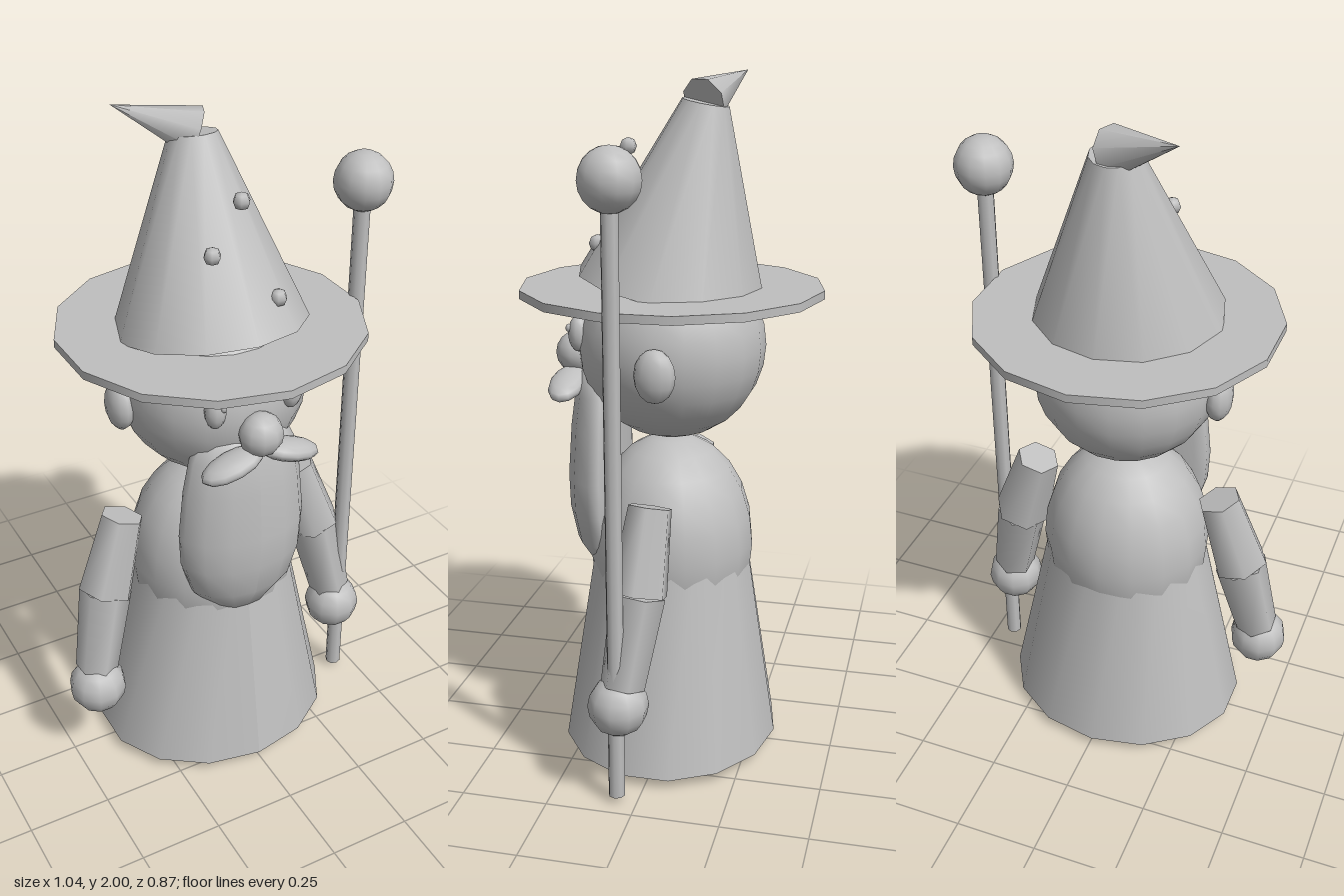
import * as THREE from 'three';

const CX = -0.008; // body axis

export function createModel() {
  const model = new THREE.Group();
  model.name = 'wizard';
  const grey = new THREE.MeshStandardMaterial({ color: 0xbfbfbf });
  grey.name = 'grey';

  const add = (name, geometry, x = 0, y = 0, z = 0) => {
    const mesh = new THREE.Mesh(geometry, grey);
    mesh.name = name;
    mesh.position.set(CX + x, y, z);
    model.add(mesh);
    return mesh;
  };
  const ball = (name, x, y, z, rx, ry = rx, rz = rx, w = 14, h = 10) => {
    const mesh = add(name, new THREE.SphereGeometry(1, w, h), x, y, z);
    mesh.scale.set(rx, ry, rz);
    return mesh;
  };
  // Tapered cylinder between two points
  const limb = (name, a, b, ra, rb, sides) => {
    const from = new THREE.Vector3(...a), to = new THREE.Vector3(...b);
    const dir = to.clone().sub(from);
    const mid = from.add(to).multiplyScalar(0.5);
    const mesh = add(name, new THREE.CylinderGeometry(rb, ra, dir.length(), sides), mid.x, mid.y, mid.z);
    mesh.quaternion.setFromUnitVectors(new THREE.Vector3(0, 1, 0), dir.normalize());
    return mesh;
  };

  // Robe: round at the waist, flattened front to back at the hem
  const robe = new THREE.CylinderGeometry(0.205, 0.372, 0.77, 14);
  const rp = robe.attributes.position;
  for (let i = 0; i < rp.count; i++) if (rp.getY(i) < 0) rp.setZ(i, rp.getZ(i) * 0.87);
  robe.computeVertexNormals();
  add('robe', robe, 0, 0.415, 0);
  ball('torso', 0, 0.64, 0, 0.255, 0.33, 0.245, 16, 12);

  // Head
  ball('head', 0, 1.24, 0, 0.272, 0.272, 0.272, 18, 14);
  ball('nose', 0, 1.2, 0.288, 0.064, 0.064, 0.06, 10, 8);

  // Beard: half-round front, nearly flat back
  const profile = [[0, 0.56], [0.09, 0.562], [0.165, 0.65], [0.195, 0.75], [0.2, 0.85],
    [0.185, 1.0], [0.165, 1.1], [0.13, 1.17], [0, 1.19]].map(([r, y]) => new THREE.Vector2(r, y));
  const beard = new THREE.LatheGeometry(profile, 14);
  const bp = beard.attributes.position;
  for (let i = 0; i < bp.count; i++) {
    const z = bp.getZ(i);
    bp.setZ(i, z * (z > 0 ? 0.64 : 0.12));
  }
  beard.computeVertexNormals();
  add('beard', beard, 0, 0, 0.177);

  // Paired parts
  for (const s of [-1, 1]) {
    const side = s > 0 ? 'left' : 'right';
    ball(side + 'Ear', s * 0.277, 1.212, -0.015, 0.04, 0.076, 0.059, 12, 8);
    ball(side + 'Eye', s * 0.117, 1.283, 0.245, 0.031, 0.053, 0.03, 10, 8);
    ball(side + 'Pupil', s * 0.117 + 0.012, 1.3, 0.27, 0.01, 0.012, 0.01, 6, 5);
    ball(side + 'Moustache', s * 0.088, 1.127, 0.29, 0.097, 0.031, 0.053, 12, 8).rotation.z = -s * 0.28;

    const elbow = [s * 0.362, 0.608, 0.012];
    limb(side + 'UpperArm', [s * 0.29, 0.842, -0.005], elbow, 0.065, 0.086, 6);
    limb(side + 'Forearm', elbow, [s * 0.418, 0.35, 0.045], 0.078, 0.064, 6);
    ball(side + 'Hand', s * 0.423, 0.292, 0.057, 0.087, 0.087, 0.087, 10, 8);

    // Foot: bevelled slab poking out under the hem
    const shape = new THREE.Shape();
    shape.moveTo(-0.058, -0.105);
    shape.lineTo(0.058, -0.105);
    shape.lineTo(0.058, 0.06);
    shape.lineTo(0.03, 0.105);
    shape.lineTo(-0.03, 0.105);
    shape.lineTo(-0.058, 0.06);
    const foot = new THREE.ExtrudeGeometry(shape, {
      depth: 0.05, bevelEnabled: true, bevelSize: 0.026, bevelThickness: 0.027, bevelSegments: 1,
    });
    foot.rotateX(Math.PI / 2);
    add(side + 'Foot', foot, s * 0.122, 0.077, 0.027);
  }

  // Hat
  add('hatBrim', new THREE.CylinderGeometry(0.437, 0.437, 0.024, 14), 0, 1.401, 0);
  limb('hatCone', [0, 1.407, 0], [0, 1.92, -0.095], 0.275, 0.067, 12);
  limb('hatTip', [0.006, 1.922, -0.09], [-0.198, 2.0, -0.176], 0.068, 0, 8);
  for (const [x, y, z] of [[0.028, 1.8, 0.118], [-0.073, 1.68, 0.147], [0.103, 1.54, 0.189]]) {
    ball('hatStud', x, y, z, 0.025, 0.025, 0.025, 6, 4);
  }

  // Staff
  add('staff', new THREE.CylinderGeometry(0.024, 0.024, 1.72, 8), 0.444, 0.88, 0.058);
  ball('staffOrb', 0.444, 1.755, 0.057, 0.083, 0.085, 0.085, 12, 10);

  return model;
}
